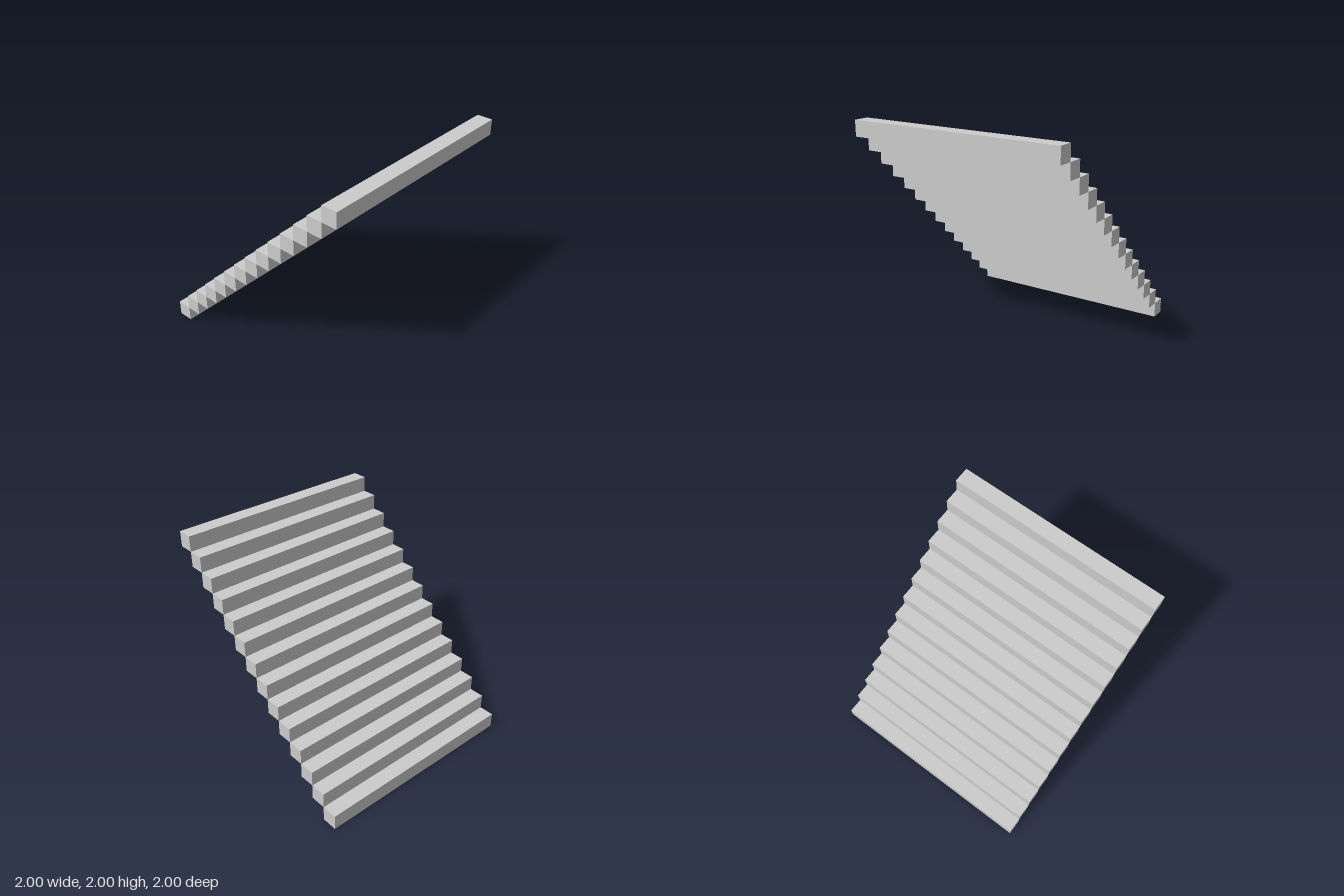
import * as THREE from 'three';

const STEPS = 14;
const SIZE = 2 / STEPS; // rise and run of each step
const WIDTH = 2;

export function createModel() {
  const staircase = new THREE.Group();
  staircase.name = 'staircase';
  const material = new THREE.MeshStandardMaterial({ color: 0xcccccc, flatShading: true });
  const geometry = new THREE.BoxGeometry(WIDTH, SIZE, SIZE);

  // Square bars meeting edge to edge, climbing from the back to the front
  for (let i = 0; i < STEPS; i++) {
    const step = new THREE.Mesh(geometry, material);
    step.name = `step${i + 1}`;
    step.position.set(0, (i + 0.5) * SIZE, -1 + (i + 0.5) * SIZE);
    staircase.add(step);
  }
  return staircase;
}
